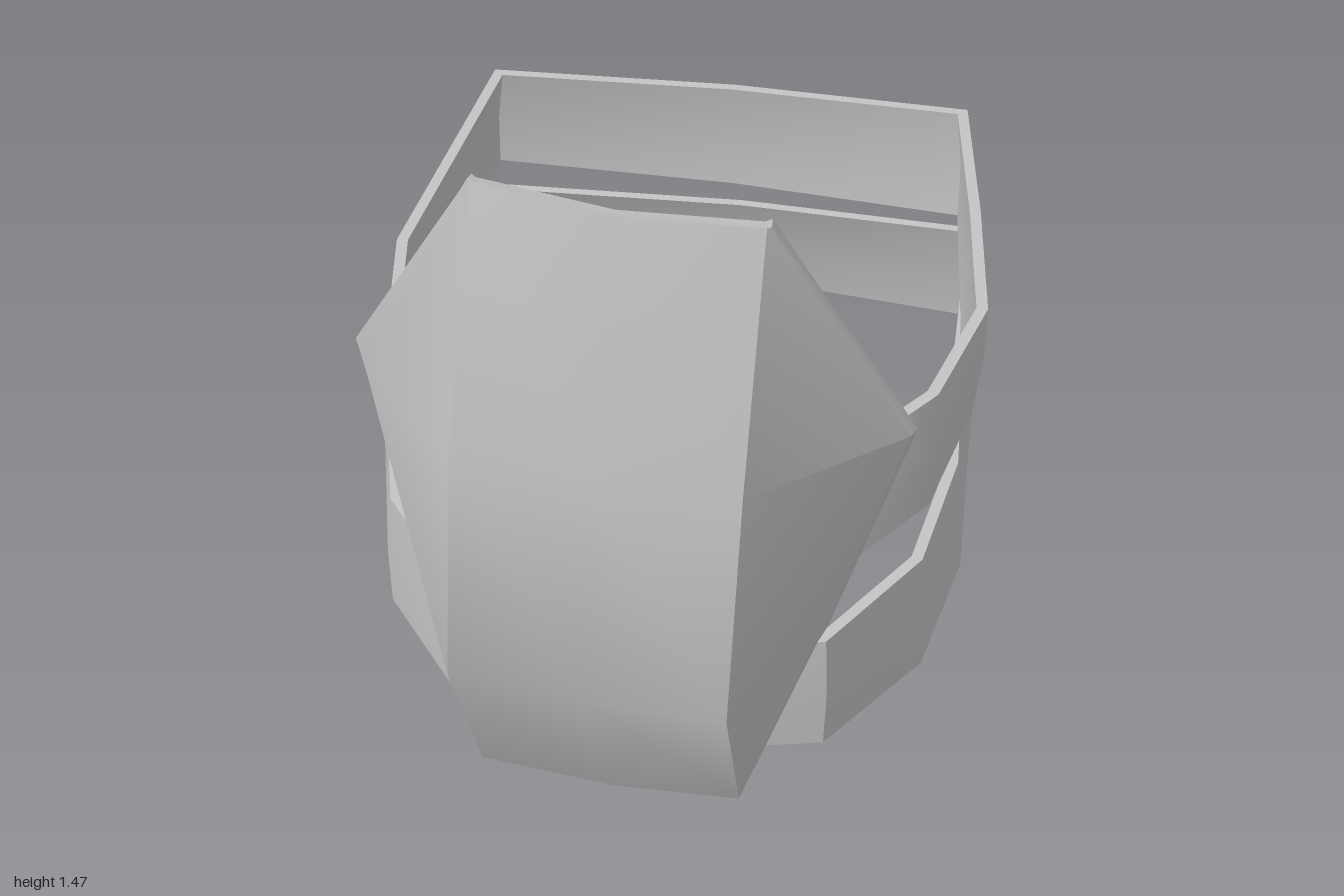
import * as THREE from 'three';
import { toCreasedNormals } from 'three/addons/utils/BufferGeometryUtils.js';

// Joins rows of points into a closed or open skin; rows run along, points run across.
function skin(rows, closeRows, closePoints, crease) {
  const n = rows.length, m = rows[0].length, pos = rows.flat(2), index = [];
  for (let i = 0; i < (closeRows ? n : n - 1); i++) {
    for (let j = 0; j < (closePoints ? m : m - 1); j++) {
      const i2 = (i + 1) % n, j2 = (j + 1) % m;
      const a = i * m + j, b = i * m + j2, c = i2 * m + j2, d = i2 * m + j;
      index.push(a, d, c, a, c, b);
    }
  }
  const g = new THREE.BufferGeometry();
  g.setAttribute('position', new THREE.Float32BufferAttribute(pos, 3));
  g.setIndex(index);
  return toCreasedNormals(g, crease);
}

// Moves a closed outline inward in the xz plane, keeping an even thickness.
function inset(outline, t) {
  const n = outline.length;
  return outline.map(([x, z], i) => {
    const p = outline[(i + n - 1) % n], q = outline[(i + 1) % n];
    const d1 = new THREE.Vector2(x - p[0], z - p[1]).normalize();
    const d2 = new THREE.Vector2(q[0] - x, q[1] - z).normalize();
    const n1 = new THREE.Vector2(-d1.y, d1.x), n2 = new THREE.Vector2(-d2.y, d2.x);
    const k = t / (1 + n1.dot(n2));
    return [x + (n1.x + n2.x) * k, z + (n1.y + n2.y) * k];
  });
}

// Strap: a thin band between a bottom and a top outline, slightly bowed outward.
function strapGeometry(bottom, top, y0, y1) {
  const t = 0.024;
  const mid = inset(bottom.map(([x, z], i) => [(x + top[i][0]) / 2, (z + top[i][1]) / 2]), -0.008);
  const ib = inset(bottom, t), im = inset(mid, t), it = inset(top, t), ym = (y0 + y1) / 2;
  const at = ([x, z], y) => [x, y, z];
  const rows = bottom.map((b, i) => [
    at(b, y0), at(ib[i], y0), at(im[i], ym), at(it[i], y1), at(top[i], y1), at(mid[i], ym),
  ]);
  return skin(rows, true, true, 0.75);
}

export function createModel() {
  const group = new THREE.Group();
  const grey = new THREE.MeshStandardMaterial({ color: 0xc4c4c4 });
  grey.name = 'grey';
  const add = (name, geometry) => {
    const mesh = new THREE.Mesh(geometry, grey);
    mesh.name = name;
    group.add(mesh);
  };

  // Straps: outlines run from the back right corner round the back, left and front
  add('upperStrap', strapGeometry(
    [[-0.6, -0.79], [0, -0.785], [0.565, -0.735], [0.615, -0.3], [0.65, 0.08], [0.595, 0.4],
      [0.42, 0.68], [0.05, 0.78], [-0.31, 0.67], [-0.53, 0.41], [-0.615, 0.04]],
    [[-0.57, -0.725], [0, -0.755], [0.55, -0.735], [0.62, -0.3], [0.67, 0.08], [0.6, 0.4],
      [0.42, 0.68], [0.05, 0.78], [-0.31, 0.67], [-0.53, 0.41], [-0.605, 0.04]],
    0.525, 0.8));
  add('lowerStrap', strapGeometry(
    [[-0.675, -1], [0, -0.99], [0.605, -0.92], [0.63, -0.3], [0.65, 0.08], [0.6, 0.42],
      [0.43, 0.7], [0.05, 0.8], [-0.33, 0.7], [-0.55, 0.42], [-0.675, -0.02]],
    [[-0.65, -0.86], [0, -0.895], [0.585, -0.87], [0.605, -0.3], [0.63, 0.08], [0.59, 0.42],
      [0.43, 0.71], [0.05, 0.825], [-0.32, 0.7], [-0.54, 0.42], [-0.655, 0.03]],
    0.118, 0.395));

  // Guard plate: each row is a cross-section, front points left to right, then back points
  const front = [
    [[-0.235, 0.02, 0.74], [-0.27, 0.02, 0.765], [0.01, 0.012, 0.79], [0.27, 0.005, 0.775], [0.275, 0.005, 0.75]],
    [[-0.375, 0.43, 0.71], [-0.272, 0.43, 0.98], [0, 0.422, 0.995], [0.278, 0.415, 1], [0.42, 0.42, 0.725]],
    [[-0.495, 0.945, 0.675], [-0.25, 0.95, 0.965], [0.02, 0.945, 0.99], [0.3, 0.94, 0.985], [0.575, 0.925, 0.715]],
    [[-0.228, 1.468, 0.83], [-0.222, 1.473, 0.84], [0.05, 1.468, 0.905], [0.318, 1.455, 0.875], [0.325, 1.452, 0.865]],
  ];
  front[0][0][0] = -0.277;
  const back = [
    [[-0.275, 0.04, 0.69], [-0.255, 0.04, 0.7], [0.01, 0.035, 0.73], [0.26, 0.03, 0.71], [0.272, 0.03, 0.695]],
    [[-0.385, 0.43, 0.675], [-0.245, 0.43, 0.85], [0, 0.422, 0.88], [0.25, 0.415, 0.87], [0.43, 0.42, 0.69]],
    [[-0.515, 0.965, 0.645], [-0.235, 0.95, 0.865], [0.02, 0.945, 0.9], [0.28, 0.94, 0.88], [0.585, 0.925, 0.69]],
    [[-0.225, 1.465, 0.805], [-0.215, 1.465, 0.815], [0.05, 1.46, 0.87], [0.31, 1.45, 0.845], [0.322, 1.45, 0.835]],
  ];
  const reversed = back.map((row) => [...row].reverse());
  // Front points run left to right, so the rows go from the top down to face outward
  add('guardPlate', skin(front.map((row, i) => [...row, ...reversed[i]]).reverse(), false, true, 0.55));
  // Rims close the plate along its top and bottom edges
  add('topRim', skin([back[3], front[3]], false, false, 0.5));
  add('bottomRim', skin([front[0], back[0]], false, false, 0.5));
  return group;
}
